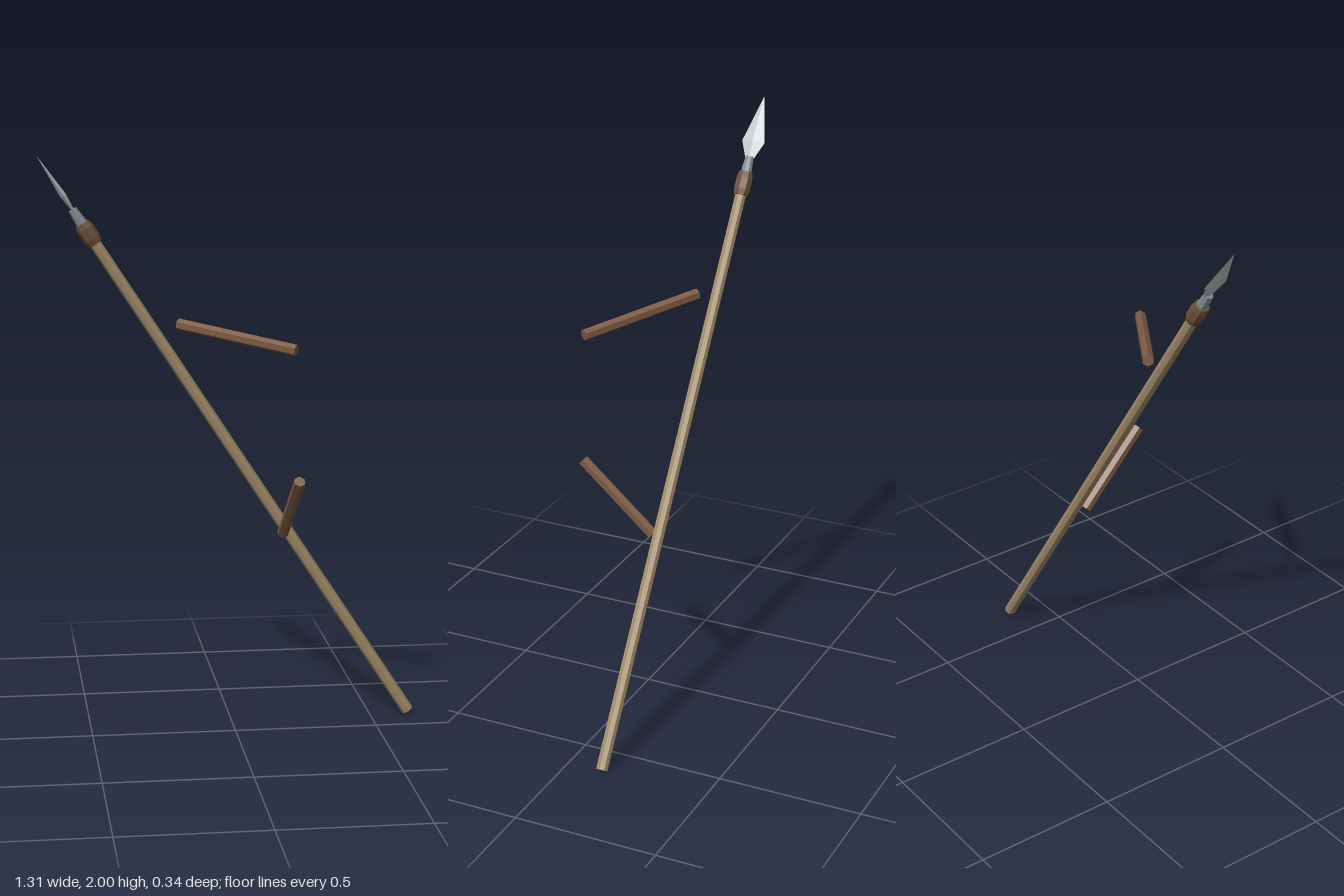
import * as THREE from 'three';

const material = (color) => new THREE.MeshStandardMaterial({ color, flatShading: true });

// Faceted solid of revolution from [radius, height] pairs
function turned(name, profile, sides, mat) {
  const points = profile.map(([r, y]) => new THREE.Vector2(r, y));
  const mesh = new THREE.Mesh(new THREE.LatheGeometry(points, sides), mat);
  mesh.name = name;
  return mesh;
}

// Turn an object's y axis from one point towards another
function aim(object, from, to) {
  object.position.copy(from);
  const direction = to.clone().sub(from).normalize();
  object.quaternion.setFromUnitVectors(new THREE.Vector3(0, 1, 0), direction);
  return object;
}

export function createModel() {
  const model = new THREE.Group();
  model.name = 'spearWithPegs';
  const wood = material(0xa08a68);
  const darkWood = material(0x7d5c43);
  const binding = material(0x6e5039);
  const steel = material(0x7f8a90);
  const bladeSteel = material(0xc4c8ca);

  // Leaning spear, built upright along its own y axis
  const spear = new THREE.Group();
  spear.name = 'spear';
  spear.add(turned('shaft', [[0, 0], [0.021, 0], [0.02, 2.06], [0, 2.06]], 8, wood));
  spear.add(turned('binding',
    [[0, 2.014], [0.025, 2.014], [0.03, 2.035], [0.03, 2.075], [0.025, 2.097], [0, 2.097]], 8, binding));
  spear.add(turned('socket', [[0, 2.05], [0.024, 2.05], [0.015, 2.154], [0, 2.154]], 8, steel));

  // Flat diamond-section blade, broad across z
  const blade = turned('blade', [[0, 2.14], [0.012, 2.14], [0.042, 2.21], [0, 2.374]], 4, bladeSteel);
  blade.scale.x = 0.26;
  spear.add(blade);
  model.add(aim(spear, new THREE.Vector3(0.637, 0.011, -0.13), new THREE.Vector3(-0.66, 2, -0.13)));

  // Two short pegs angled out in front of the shaft
  const pegs = [
    ['upperPeg', [-0.185, 1.424, -0.095], [0.187, 1.362, 0.149]],
    ['lowerPeg', [0.178, 0.68, -0.098], [0.2, 0.915, 0.15]],
  ];
  for (const [name, a, b] of pegs) {
    const from = new THREE.Vector3(...a);
    const to = new THREE.Vector3(...b);
    const length = from.distanceTo(to);
    const peg = turned(name, [[0, 0], [0.02, 0], [0.02, length], [0, length]], 6, darkWood);
    model.add(aim(peg, from, to));
  }
  return model;
}
